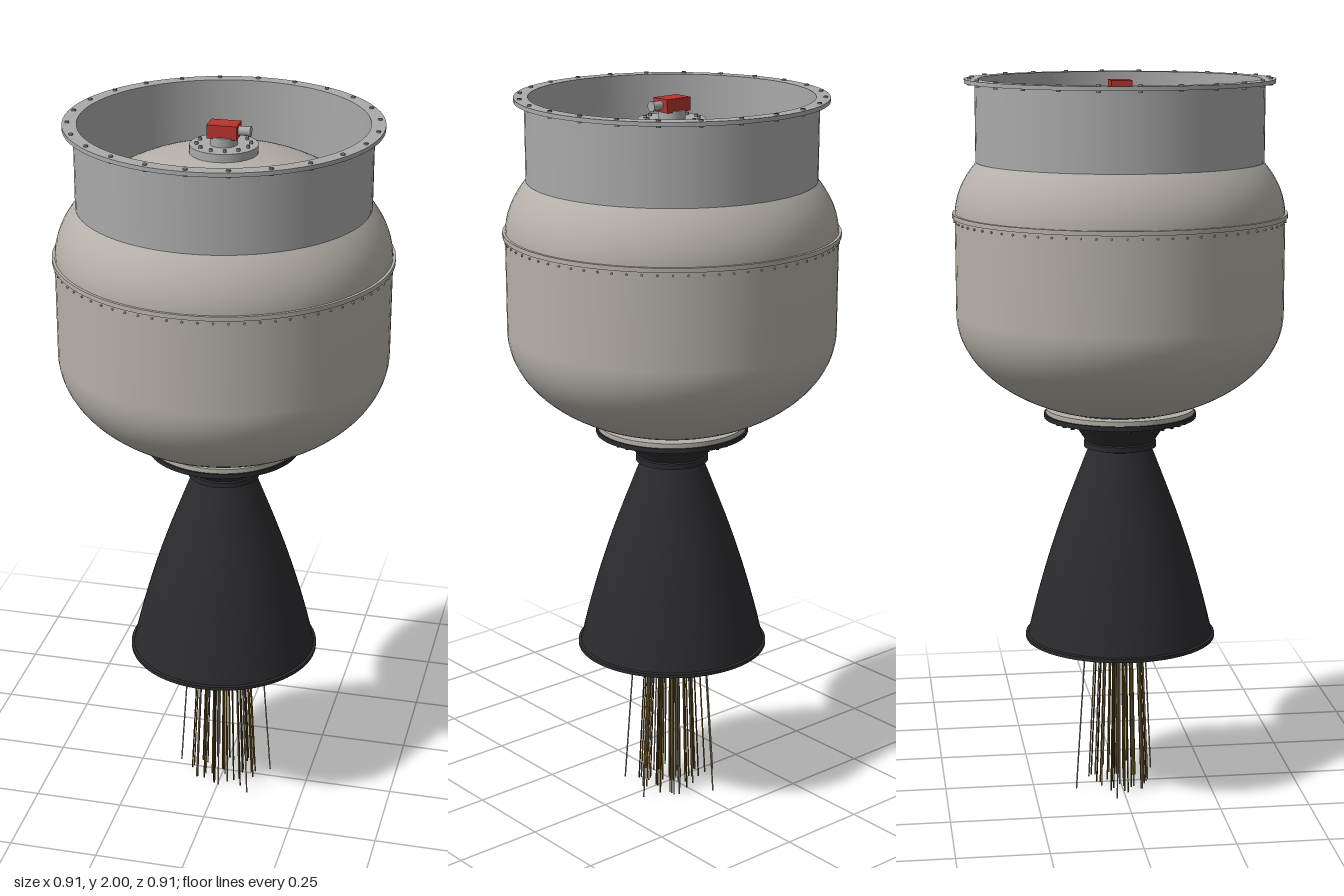
import * as THREE from 'three';

const mat = (color, side = THREE.FrontSide) =>
  new THREE.MeshStandardMaterial({ color, side, roughness: 0.7, metalness: 0.1 });
const tankMat = mat(0xb5b0a8);
const steelMat = mat(0xaaaaaa);
const boltMat = mat(0x88888a);
const nozzleMat = mat(0x2b2a2d, THREE.DoubleSide);
const redMat = mat(0xb8322e);
const sparkMats = [mat(0x8a6a24), mat(0x5c4a20), mat(0xb5a88a)];

export function createModel() {
  const model = new THREE.Group();

  const add = (name, geometry, material, x = 0, y = 0, z = 0) => {
    const mesh = new THREE.Mesh(geometry, material);
    mesh.name = name;
    mesh.position.set(x, y, z);
    model.add(mesh);
    return mesh;
  };

  // Revolve a profile of [radius, height] pairs; each straight run is its own
  // lathe so that corners between runs stay sharp.
  const turned = (name, points, material) => {
    const group = new THREE.Group();
    group.name = name;
    for (let i = 0; i < points.length - 1; i++) {
      const run = [points[i], points[i + 1]].map(([r, y]) => new THREE.Vector2(r, y));
      group.add(new THREE.Mesh(new THREE.LatheGeometry(run, 72), material));
    }
    model.add(group);
    return group;
  };

  // Smooth revolved surface
  const smooth = (name, points, material) =>
    add(name, new THREE.LatheGeometry(points, 72), material);

  // Ring of upright bolts
  const boltRing = (name, count, radius, y, size, height, offset = 0) => {
    const group = new THREE.Group();
    group.name = name;
    const geometry = new THREE.CylinderGeometry(size, size, height, 8);
    for (let i = 0; i < count; i++) {
      const a = ((i + offset) / count) * Math.PI * 2;
      const bolt = new THREE.Mesh(geometry, boltMat);
      bolt.position.set(Math.cos(a) * radius, y, Math.sin(a) * radius);
      group.add(bolt);
    }
    model.add(group);
    return group;
  };

  // Motor case: elliptical domes joined by a straight barrel
  const R = 0.448, domeHeight = 0.29, lowY = 1.365, highY = 1.63;
  const caseProfile = [new THREE.Vector2(0, 1.1)];
  const startAngle = Math.acos(0.19 / R);
  for (let i = 0; i <= 20; i++) {
    const a = startAngle * (1 - i / 20);
    caseProfile.push(new THREE.Vector2(R * Math.cos(a), lowY - domeHeight * Math.sin(a)));
  }
  for (let i = 0; i <= 24; i++) {
    const a = (i / 24) * Math.PI / 2;
    caseProfile.push(new THREE.Vector2(R * Math.cos(a), highY + domeHeight * Math.sin(a)));
  }
  smooth('motorCase', caseProfile, tankMat);

  // Joint band around the case with small pins below it
  turned('caseBand', [[0.445, 1.626], [0.455, 1.626], [0.455, 1.638], [0.44, 1.638]], tankMat);
  const pins = new THREE.Group();
  pins.name = 'casePins';
  const pinGeometry = new THREE.CylinderGeometry(0.003, 0.003, 0.006, 6).rotateX(Math.PI / 2);
  for (let i = 0; i < 72; i++) {
    const a = (i / 72) * Math.PI * 2;
    const pin = new THREE.Mesh(pinGeometry, tankMat);
    pin.position.set(Math.sin(a) * 0.449, 1.617, Math.cos(a) * 0.449);
    pin.rotation.y = a;
    pins.add(pin);
  }
  model.add(pins);

  // Forward skirt with an outward mounting flange
  turned('forwardSkirt', [
    [0.38, 1.775], [0.39, 1.775], [0.39, 1.985], [0.418, 1.985],
    [0.418, 1.996], [0.38, 1.996], [0.38, 1.775],
  ], steelMat);
  boltRing('skirtBolts', 24, 0.404, 1.99, 0.006, 0.02);

  // Igniter on the forward dome
  add('igniterFlange', new THREE.CylinderGeometry(0.09, 0.09, 0.024, 48), steelMat, 0, 1.924, 0);
  boltRing('igniterBolts', 12, 0.071, 1.938, 0.005, 0.01, 0.5);
  add('igniterPedestal', new THREE.CylinderGeometry(0.036, 0.036, 0.026, 32), steelMat, 0, 1.947, 0);
  add('igniterBox', new THREE.BoxGeometry(0.08, 0.036, 0.056), redMat, 0, 1.974, 0);
  add('igniterConnector', new THREE.CylinderGeometry(0.012, 0.012, 0.026, 20).rotateZ(Math.PI / 2),
    steelMat, 0.053, 1.974, 0);
  add('connectorCollar', new THREE.CylinderGeometry(0.014, 0.014, 0.006, 20).rotateZ(Math.PI / 2),
    steelMat, 0.069, 1.974, 0);

  // Aft ring and dark nozzle flange
  turned('aftRing', [[0.1, 1.083], [0.205, 1.083], [0.205, 1.097], [0.17, 1.097]], tankMat);
  turned('nozzleFlange', [[0.07, 1.071], [0.21, 1.071], [0.21, 1.084], [0.07, 1.084]], nozzleMat);
  boltRing('nozzleBolts', 36, 0.19, 1.069, 0.005, 0.014).traverse((o) => {
    if (o.isMesh) o.material = nozzleMat;
  });

  // Converging section and throat collar
  turned('nozzleThroat', [
    [0.14, 1.072], [0.096, 1.006], [0.1, 1.003], [0.1, 0.988], [0.085, 0.984],
  ], nozzleMat);

  // Bell with an inner wall and an exit lip
  const outer = new THREE.SplineCurve([
    [0.086, 0.988], [0.105, 0.94], [0.158, 0.8], [0.198, 0.68], [0.235, 0.55], [0.261, 0.442],
  ].map(([r, y]) => new THREE.Vector2(r, y))).getPoints(30).reverse();
  const inner = outer.map((p) => new THREE.Vector2(p.x - 0.008, p.y));
  smooth('bellOuter', outer, nozzleMat);
  smooth('bellInner', inner.reverse(), nozzleMat);
  turned('bellLip', [[0.253, 0.441], [0.266, 0.441], [0.266, 0.451], [0.258, 0.453]], nozzleMat);
  add('throatPlug', new THREE.CylinderGeometry(0.085, 0.085, 0.01, 40), nozzleMat, 0, 0.99, 0);

  // Exhaust streaks spreading gently from the throat
  let seed = 7;
  const random = () => {
    seed = (seed * 16807) % 2147483647;
    return seed / 2147483647;
  };
  const streaks = new THREE.Group();
  streaks.name = 'exhaustStreaks';
  const up = new THREE.Vector3(0, 1, 0);
  for (let i = 0; i < 48; i++) {
    const a = i * 2.39996 + random() * 0.4;
    const end = i % 12 === 5 ? 0.138 : 0.1 * Math.sqrt(random());
    const start = end * 0.5;
    const top = new THREE.Vector3(Math.cos(a) * start, 0.98, Math.sin(a) * start);
    const bottom = new THREE.Vector3(Math.cos(a) * end, i % 3 ? 0.001 : random() * 0.03, Math.sin(a) * end);
    const direction = top.clone().sub(bottom);
    const streak = new THREE.Mesh(
      new THREE.CylinderGeometry(0.0022, 0.0022, direction.length(), 5), sparkMats[i % 3]);
    streak.position.copy(top).add(bottom).multiplyScalar(0.5);
    streak.quaternion.setFromUnitVectors(up, direction.normalize());
    streaks.add(streak);
  }
  model.add(streaks);

  return model;
}
